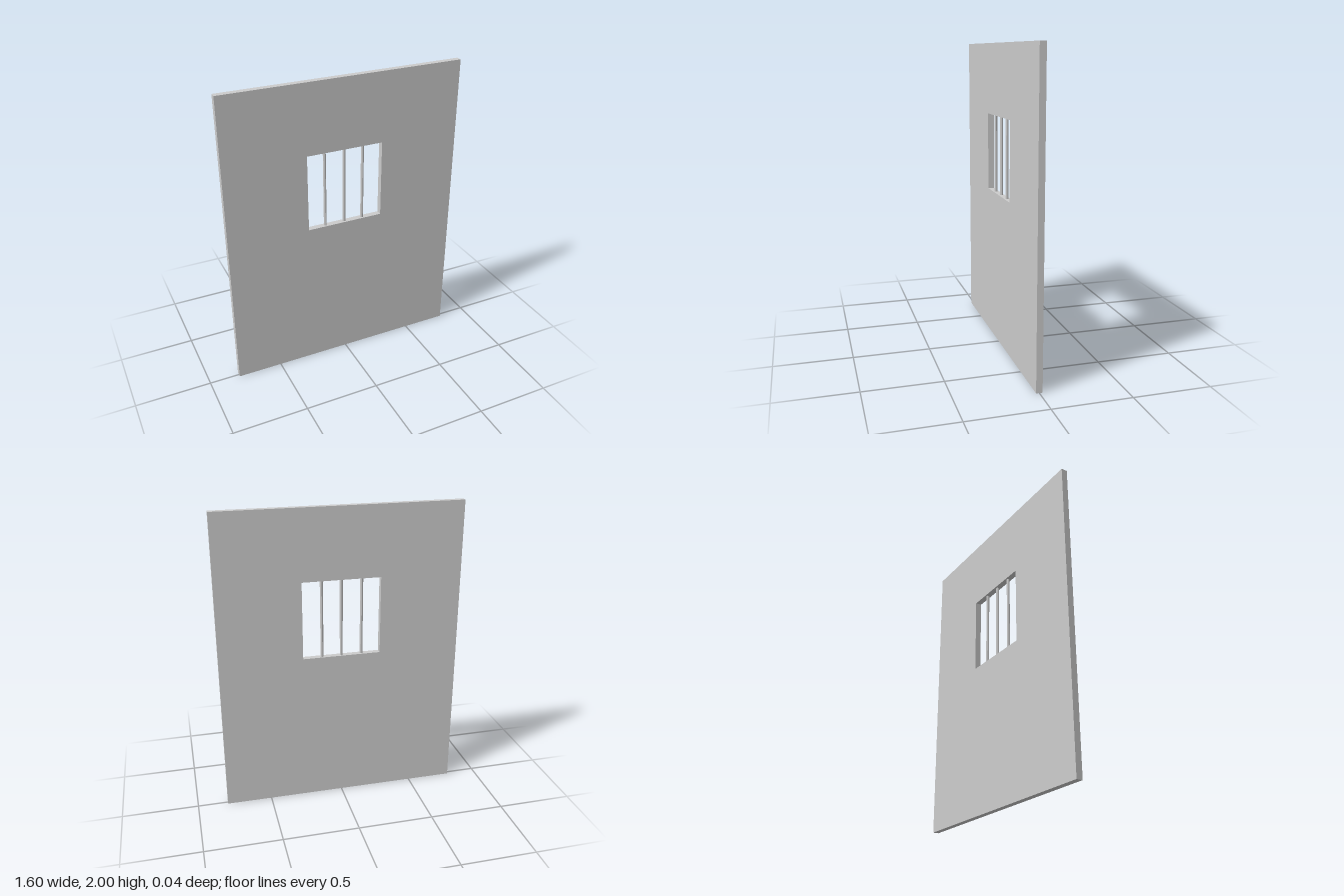
import * as THREE from 'three';

const THICKNESS = 0.04;
const OPENING = { left: -0.26, right: 0.255, bottom: 1.02, top: 1.535 };

// Rectangular outline, usable as a shape or as a hole
function rectangle(PathType, left, right, bottom, top) {
  return new PathType([
    new THREE.Vector2(left, bottom),
    new THREE.Vector2(right, bottom),
    new THREE.Vector2(right, top),
    new THREE.Vector2(left, top),
  ]);
}

export function createModel() {
  const model = new THREE.Group();
  model.name = 'barredWall';
  const material = new THREE.MeshStandardMaterial({ color: 0xcccccc, flatShading: true });
  const { left, right, bottom, top } = OPENING;

  // Wall panel with a window opening
  const outline = rectangle(THREE.Shape, -0.8, 0.8, 0, 2);
  outline.holes.push(rectangle(THREE.Path, left, right, bottom, top));
  const panel = new THREE.ExtrudeGeometry(outline, { depth: THICKNESS, bevelEnabled: false });
  panel.translate(0, 0, -THICKNESS / 2);
  const wall = new THREE.Mesh(panel, material);
  wall.name = 'wall';
  model.add(wall);

  // Upright window bars
  const bars = new THREE.Group();
  bars.name = 'windowBars';
  const barGeometry = new THREE.CylinderGeometry(0.01, 0.01, top - bottom, 8);
  for (const x of [-0.137, -0.003, 0.126]) {
    const bar = new THREE.Mesh(barGeometry, material);
    bar.name = 'windowBar';
    bar.position.set(x, (bottom + top) / 2, 0);
    bars.add(bar);
  }
  model.add(bars);

  return model;
}
